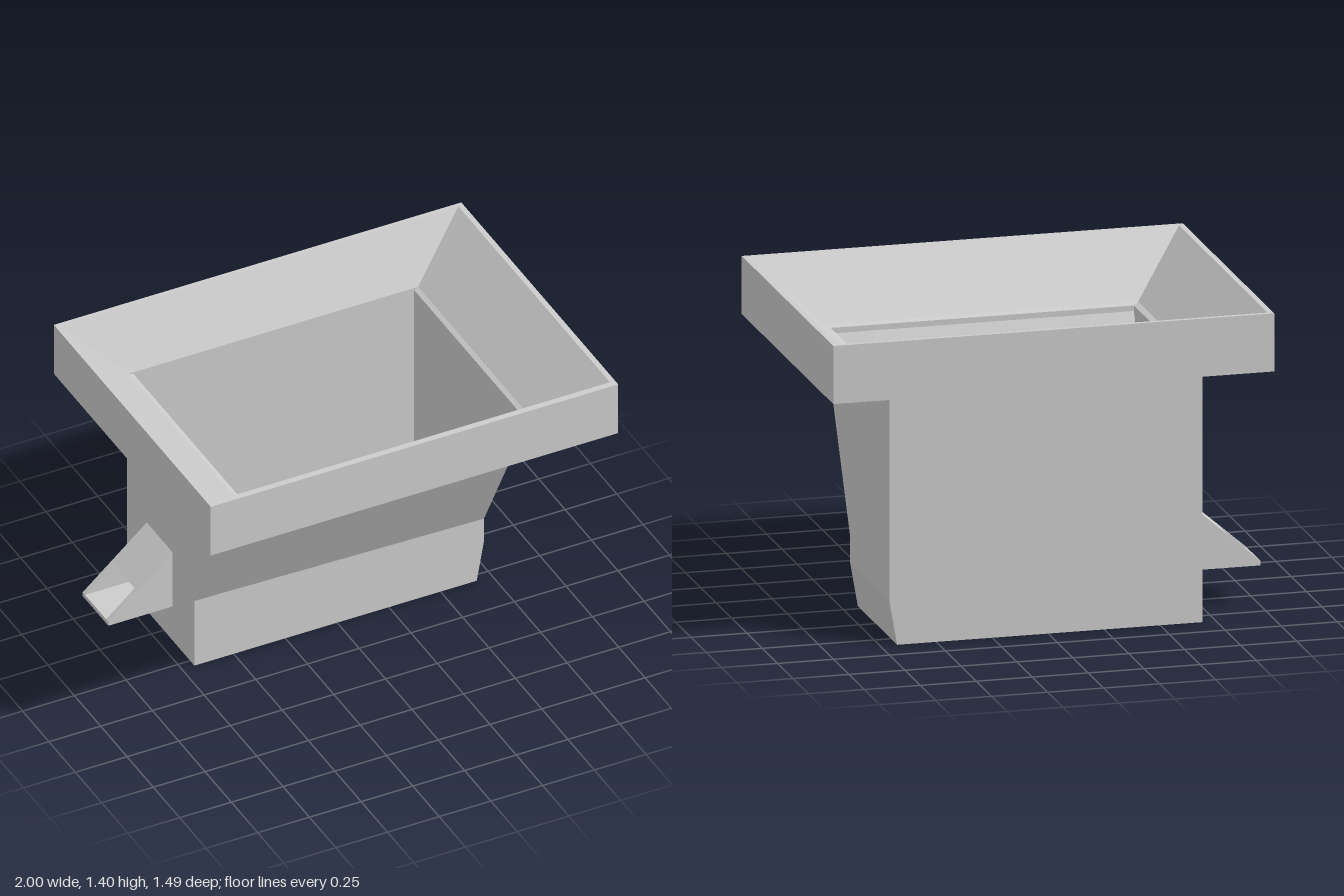
import * as THREE from 'three';

const material = new THREE.MeshStandardMaterial({ color: 0xcccccc, flatShading: true });

// Skins a series of rectangular rings [x0, x1, z0, z1, y, yLeft].
// Sides: 0 front, 1 right-hand (+x), 2 back, 3 (-x).
function loft(rings, sides = [0, 1, 2, 3]) {
  const corners = ([x0, x1, z0, z1, y, yLeft = y]) =>
    [[x0, yLeft, z1], [x1, y, z1], [x1, y, z0], [x0, yLeft, z0]];
  const positions = [];
  for (let r = 0; r < rings.length - 1; r++) {
    const low = corners(rings[r]), high = corners(rings[r + 1]);
    for (const i of sides) {
      const j = (i + 1) % 4;
      positions.push(...low[i], ...low[j], ...high[j], ...low[i], ...high[j], ...high[i]);
    }
  }
  const geometry = new THREE.BufferGeometry();
  geometry.setAttribute('position', new THREE.Float32BufferAttribute(positions, 3));
  geometry.computeVertexNormals();
  return geometry;
}

const outline = (points) => points.map(([x, y]) => new THREE.Vector2(x, y));

function prism(points, depth, hole) {
  const shape = new THREE.Shape(outline(points));
  if (hole) shape.holes.push(new THREE.Path(outline(hole)));
  return new THREE.ExtrudeGeometry(shape, { depth, bevelEnabled: false });
}

export function createModel() {
  const model = new THREE.Group();
  const add = (name, geometry, parent = model) => {
    const mesh = new THREE.Mesh(geometry, material);
    mesh.name = name;
    parent.add(mesh);
    return mesh;
  };

  // Collar with flat underside, thin rim and sloping funnel inside
  add('collar', loft([
    [-0.69, 0.71, -0.6, 0.46, 1.14],
    [-0.97, 1.0, -0.745, 0.745, 1.14],
    [-0.97, 1.0, -0.745, 0.745, 1.4],
    [-0.945, 0.975, -0.725, 0.715, 1.4],
    [-0.69, 0.71, -0.585, 0.45, 1.15],
    [-0.665, 0.69, -0.585, 0.43, 1.14],
  ]));

  // Chute: down the inside, round the bottom lip and up the outside
  add('chute', loft([
    [-0.665, 0.69, -0.585, 0.43, 1.14],
    [-0.665, 0.69, -0.585, 0.43, 1.115],
    [-0.665, 0.69, -0.585, 0.01, 0.32, 0.345],
    [-0.665, 0.69, -0.585, 0.01, 0.2],
    [-0.665, 0.65, -0.585, 0.01, 0],
    [-0.665, 0.675, -0.6, 0.04, 0],
    [-0.665, 0.71, -0.6, 0.04, 0.2],
    [-0.665, 0.71, -0.6, 0.04, 0.32, 0.345],
    [-0.665, 0.71, -0.6, 0.46, 1.115],
    [-0.665, 0.71, -0.6, 0.46, 1.14],
  ], [0, 1, 2]));

  // Side wall of the chute, pierced for the spout
  const wall = prism(
    [[-0.6, 0], [0.04, 0], [0.04, 0.345], [0.46, 1.115], [0.46, 1.14], [-0.6, 1.14]], 0.025,
    [[-0.39, 0.2], [-0.39, 0.32], [-0.19, 0.32], [-0.19, 0.2]]);
  wall.rotateY(-Math.PI / 2).translate(-0.665, 0, 0);
  add('spoutWall', wall);

  // Wedge-shaped spout: two cheeks, a floor and a roof around a level tunnel
  const spout = new THREE.Group();
  spout.name = 'spout';
  model.add(spout);
  const cheek = [[-0.69, 0.18], [-0.69, 0.47], [-1, 0.2], [-1, 0.18]];
  const floor = [[-0.69, 0.18], [-0.69, 0.2], [-1, 0.2], [-1, 0.18]];
  const roof = [[-0.69, 0.32], [-0.69, 0.47], [-0.862, 0.32]];
  add('backCheek', prism(cheek, 0.022), spout).position.z = -0.412;
  add('frontCheek', prism(cheek, 0.022), spout).position.z = -0.19;
  add('spoutFloor', prism(floor, 0.2), spout).position.z = -0.39;
  add('spoutRoof', prism(roof, 0.2), spout).position.z = -0.39;

  return model;
}
